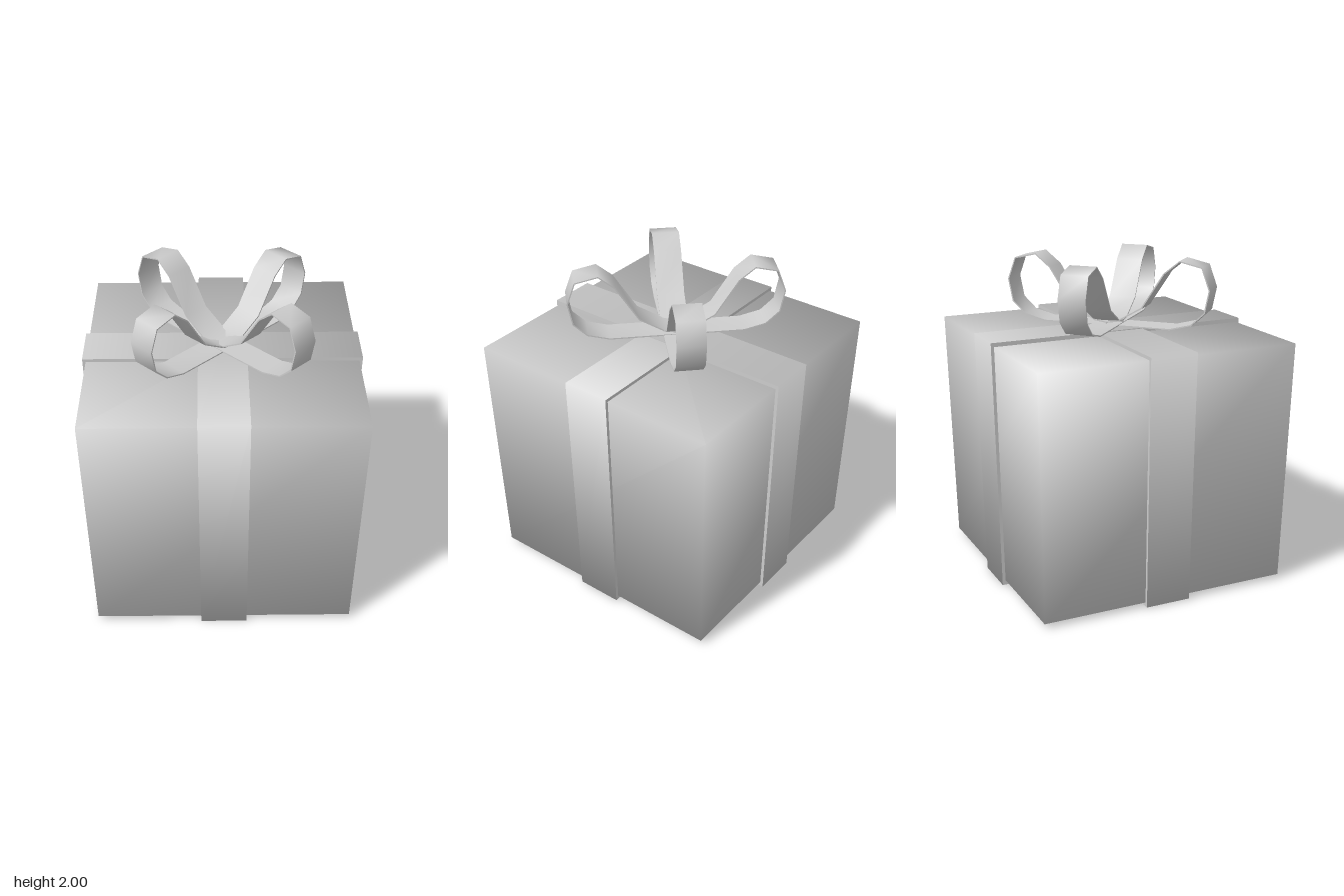
import * as THREE from 'three';
import { toCreasedNormals } from 'three/addons/utils/BufferGeometryUtils.js';

const material = new THREE.MeshStandardMaterial({ color: 0xcccccc });

// Box standing between y0 and y1, narrowing towards the bottom, with soft shading round its corners.
// A band stays crisp along its two long edges.
function taperedBox(name, halfX, halfZ, y0, y1, isBand) {
  const geometry = new THREE.BoxGeometry(2, 2, 2);
  const { position, normal } = geometry.attributes;
  for (let i = 0; i < position.count; i++) {
    const sx = position.getX(i), sy = position.getY(i), sz = position.getZ(i);
    const taper = sy > 0 ? 1 : 0.962;
    position.setXYZ(i, sx * halfX * taper, sy > 0 ? y1 : y0, sz * halfZ * taper);
    if (!isBand) {
      const n = new THREE.Vector3(sx, sy, sz).normalize();
      normal.setXYZ(i, n.x, n.y, n.z);
    } else if (i >= 8) { // the first 8 corners are the flat sides of the band
      const n = new THREE.Vector3(0, sy, sz).normalize();
      normal.setXYZ(i, n.x, n.y, n.z);
    }
  }
  const mesh = new THREE.Mesh(geometry, material);
  mesh.name = name;
  return mesh;
}

// Closed ribbon loop: [distance along x or z, height], counter-clockwise
const loopProfile = [
  [0, 1.575], [0.29, 1.575], [0.385, 1.61], [0.445, 1.69], [0.465, 1.83], [0.43, 1.967],
  [0.33, 2], [0.26, 1.92], [0.16, 1.7], [0.05, 1.61], [0, 1.6],
].map(([x, y]) => new THREE.Vector2(x * Math.SQRT2, y));

// Moves each corner of a closed outline inwards
function inset(points, distance) {
  return points.map((p, i) => {
    const before = points[(i + points.length - 1) % points.length];
    const after = points[(i + 1) % points.length];
    const t = after.clone().sub(before).normalize();
    return new THREE.Vector2(p.x - t.y * distance, p.y + t.x * distance);
  });
}

function bowLoopGeometry() {
  const width = 0.17;
  const shape = new THREE.Shape(loopProfile);
  shape.holes.push(new THREE.Path(inset(loopProfile, 0.008)));
  const geometry = new THREE.ExtrudeGeometry(shape, { depth: width, bevelEnabled: false });
  geometry.translate(0, 0, -width / 2);
  return toCreasedNormals(geometry, 1.05);
}

export function createModel() {
  const model = new THREE.Group();
  model.name = 'giftBox';

  // Box
  model.add(taperedBox('box', 0.825, 0.825, 0.03, 1.53, false));

  // Two bands wrapped round the box, crossing on top and underneath
  model.add(taperedBox('bandFrontToBack', 0.149, 0.845, 0, 1.555, true));
  const cross = taperedBox('bandSideToSide', 0.149, 0.845, 0.005, 1.55, true);
  cross.rotation.y = Math.PI / 2;
  model.add(cross);

  // Bow of four loops on the diagonals
  const bow = new THREE.Group();
  bow.name = 'bow';
  const geometry = bowLoopGeometry();
  for (let i = 0; i < 4; i++) {
    const loop = new THREE.Mesh(geometry, material);
    loop.name = 'bowLoop' + (i + 1);
    loop.rotation.y = Math.PI / 4 + i * Math.PI / 2;
    loop.position.y = i % 2 ? 0 : -0.004; // one diagonal lies over the other
    bow.add(loop);
  }
  model.add(bow);
  return model;
}
